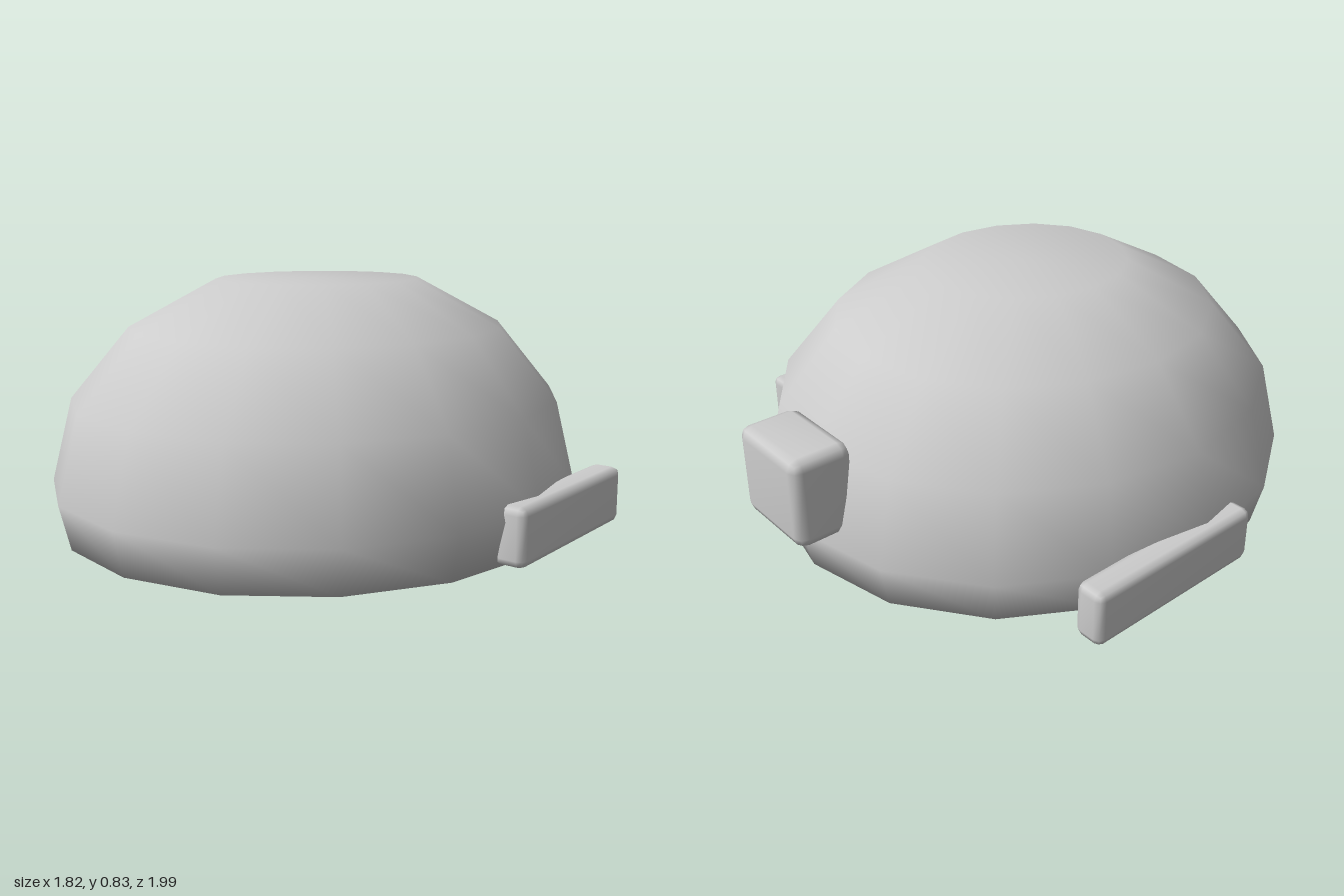
import * as THREE from 'three';
import { RoundedBoxGeometry } from 'three/addons/geometries/RoundedBoxGeometry.js';
import { mergeVertices } from 'three/addons/utils/BufferGeometryUtils.js';

const grey = new THREE.MeshStandardMaterial({ color: 0xcccccc });
grey.name = 'grey';

// Box with a single-step bevel and normals blended over the edges
function bevelBox(name, size, bevel, position) {
  const rounded = new RoundedBoxGeometry(...size, 1, bevel);
  rounded.deleteAttribute('normal');
  rounded.deleteAttribute('uv');
  rounded.clearGroups();
  const geometry = mergeVertices(rounded, 1e-4);
  geometry.computeVertexNormals();
  const mesh = new THREE.Mesh(geometry, grey);
  mesh.name = name;
  mesh.position.set(...position);
  return mesh;
}

export function createModel() {
  const model = new THREE.Group();
  model.name = 'helmet';

  // Shell: sixteen-sided smooth dome, cut flat at the crown and the base
  const radius = 0.88, height = 0.736, beltY = 0.15;
  const profile = [new THREE.Vector2(0, 0), new THREE.Vector2(0.845, 0)];
  for (let i = 0; i <= 3; i++) {
    const a = (i * Math.PI) / 8;
    profile.push(new THREE.Vector2(radius * Math.cos(a), beltY + height * Math.sin(a)));
  }
  profile.push(new THREE.Vector2(0, profile[profile.length - 1].y));
  const shell = new THREE.Mesh(new THREE.LatheGeometry(profile, 16), grey);
  shell.name = 'shell';
  shell.scale.z = 0.95 / radius;
  shell.position.z = 0.043;
  model.add(shell);

  // Side pads, mirrored
  for (const side of [-1, 1]) {
    const name = side > 0 ? 'leftPad' : 'rightPad';
    model.add(bevelBox(name, [0.105, 0.19, 0.685], 0.026, [side * 0.859, 0.105, -0.132]));
  }

  // Block at the back
  model.add(bevelBox('backBlock', [0.33, 0.305, 0.21], 0.036, [0, 0.348, -0.895]));
  return model;
}
